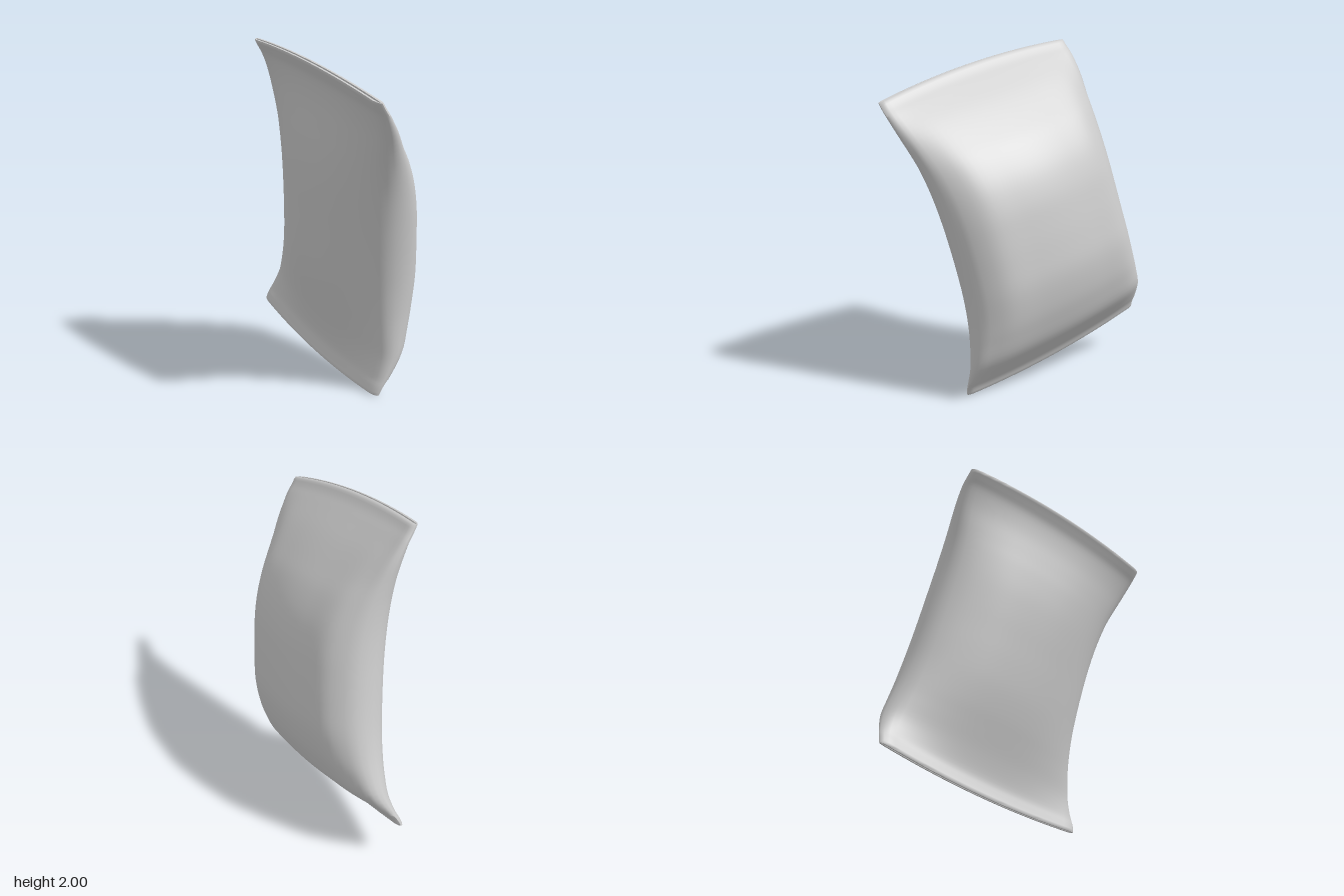
import * as THREE from 'three';
import { toCreasedNormals } from 'three/addons/utils/BufferGeometryUtils.js';

const HALF_LENGTH = 0.89, MID_WIDTH = 0.575, END_WIDTH = 0.66;
const AROUND = 72, ALONG = 64;

// Half cross-section at the middle: across, depth (front to back)
const half = [[0, 0.025], [0.2, 0.012], [0.36, -0.03], [0.48, -0.08], [0.55, -0.13], [0.575, -0.19],
  [0.56, -0.26], [0.505, -0.33], [0.42, -0.39], [0.22, -0.425], [0, -0.44]];

// From middle to end: position, fullness of upper half, of lower half, flare of the width, backward lean
const taper = [[0, 1, 1, 0, 0], [0.17, 0.98, 1, 0.02, 0], [0.34, 0.9, 0.97, 0.1, 0.003], [0.5, 0.74, 0.86, 0.27, 0.012],
  [0.63, 0.54, 0.71, 0.5, 0.024], [0.77, 0.3, 0.49, 0.8, 0.036], [0.89, 0.09, 0.16, 0.98, 0.035],
  [0.95, 0.02, 0.03, 1, 0.019], [1, 0, 0, 0.99, 0]];

function sectionPoints() {
  const right = half.map(([a, n]) => new THREE.Vector3(a, n, 0));
  const left = half.slice(1, -1).reverse().map(([a, n]) => new THREE.Vector3(-a, n, 0));
  const curve = new THREE.CatmullRomCurve3([...right, ...left], true, 'centripetal');
  return curve.getSpacedPoints(AROUND).slice(0, AROUND);
}

function stations() {
  // Fullness, flare and lean run along matching curves, lower end to upper end
  const along = (pick) => {
    const lower = taper.slice(1).reverse().map((p) => new THREE.Vector2(-p[0], pick(p, true)));
    const upper = taper.map((p) => new THREE.Vector2(p[0], pick(p, false)));
    return new THREE.SplineCurve([...lower, ...upper]).getPoints(ALONG);
  };
  const full = along((p, low) => (low ? p[2] : p[1]));
  const flare = along((p) => p[3]);
  const lean = along((p) => p[4]);
  const list = full.map((p, i) => ({ t: p.x, full: p.y, flare: flare[i].y, lean: lean[i].y, lip: 0.024 }));
  // Rounded lip and shallow slot at each end
  list[0].lip = list[ALONG].lip = 0.018;
  const slot = (s) => [
    { t: s, full: 0, flare: 0.9, lean: 0, lip: 0.006 },
    { t: s * 0.985, full: 0, flare: 0.85, lean: 0, lip: 0.004 },
  ];
  return [...slot(-1).reverse(), ...list, ...slot(1)];
}

function pillowGeometry() {
  const section = sectionPoints(), rows = stations();
  const pos = [], index = [];
  for (const { t, full, flare, lean, lip } of rows) {
    const width = THREE.MathUtils.lerp(MID_WIDTH, END_WIDTH, flare);
    for (const p of section) {
      const a = p.x / MID_WIDTH;
      const side = THREE.MathUtils.clamp((p.y + 0.19) / 0.07, -1, 1);
      // Flat ends keep a thin lip and bow outward and forward in the middle
      const arch = 1 - a * a;
      pos.push(a * width, t * HALF_LENGTH + 0.04 * arch * t ** 3,
        p.y * full + side * lip - lean + 0.015 * arch * t ** 4);
    }
  }
  for (let r = 0; r < rows.length - 1; r++) {
    for (let i = 0; i < AROUND; i++) {
      const j = (i + 1) % AROUND;
      const a = r * AROUND + i, b = r * AROUND + j;
      index.push(a, b, b + AROUND, a, b + AROUND, a + AROUND);
    }
  }
  // Close the slots at both ends
  const last = (rows.length - 1) * AROUND;
  for (let i = 0; i < AROUND / 2; i++) {
    const j = i + 1, mi = (AROUND - i) % AROUND, mj = AROUND - j;
    index.push(i, mj, j, i, mi, mj);
    index.push(last + i, last + j, last + mj, last + i, last + mj, last + mi);
  }
  const geo = new THREE.BufferGeometry();
  geo.setAttribute('position', new THREE.Float32BufferAttribute(pos, 3));
  geo.setIndex(index);
  return geo;
}

export function createModel() {
  const group = new THREE.Group();
  group.name = 'curvedPillowPack';

  // Tilted pose: across, along and facing directions
  const across = new THREE.Vector3(1.26, -0.28, 0.24).normalize();
  const along = new THREE.Vector3(0.3, 1.715, 0.325);
  along.addScaledVector(across, -along.dot(across)).normalize();
  const facing = new THREE.Vector3().crossVectors(across, along);
  const geo = pillowGeometry();
  geo.applyMatrix4(new THREE.Matrix4().makeBasis(across, along, facing));

  // Stand on the ground, centred
  geo.computeBoundingBox();
  const mid = geo.boundingBox.getCenter(new THREE.Vector3());
  geo.translate(-mid.x, -geo.boundingBox.min.y, -mid.z);

  const material = new THREE.MeshStandardMaterial({ color: 0xcccccc, side: THREE.DoubleSide });
  const mesh = new THREE.Mesh(toCreasedNormals(geo, 0.9), material);
  mesh.name = 'pillowBody';
  group.add(mesh);
  return group;
}
